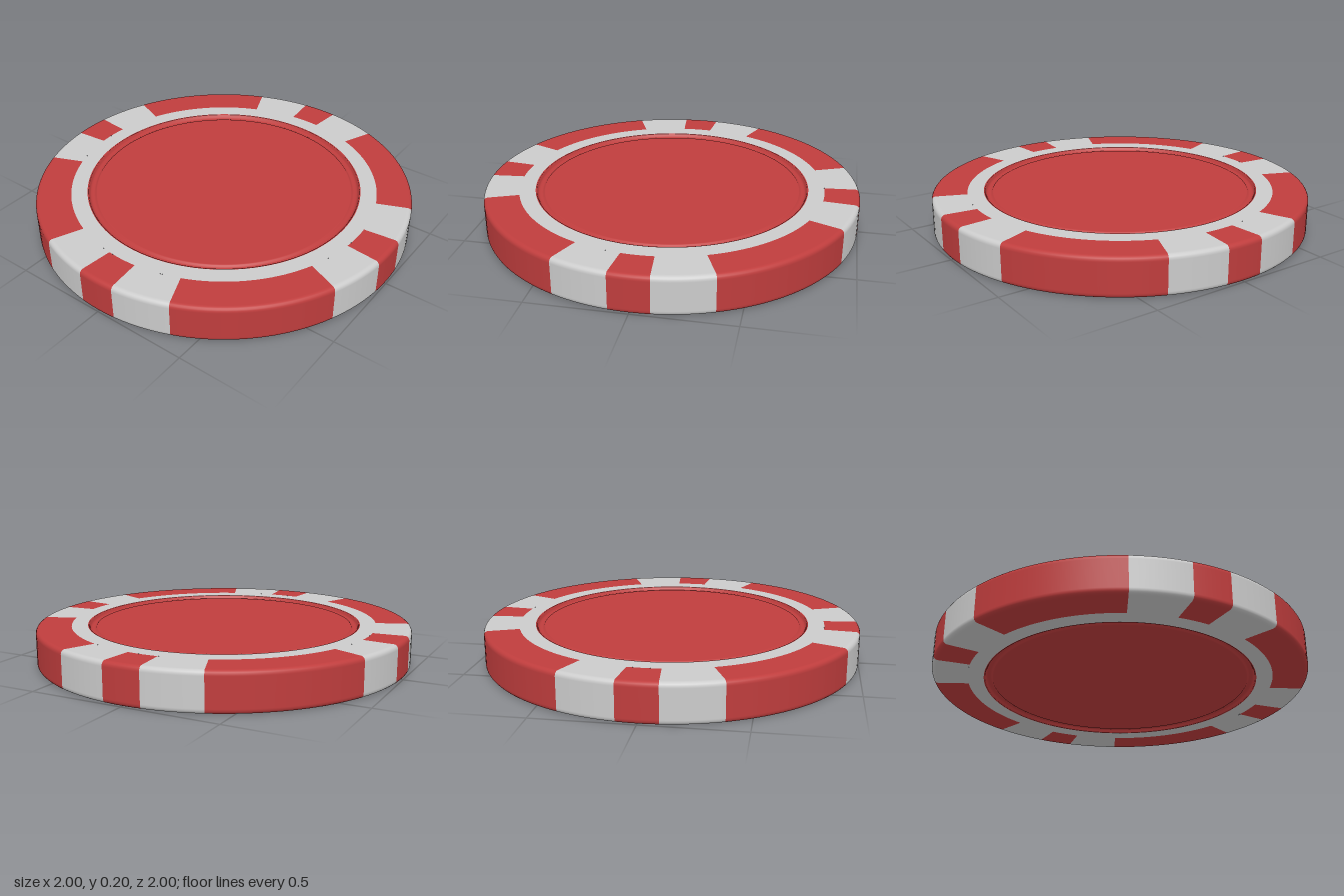
import * as THREE from 'three';

const HEIGHT = 0.2;
const INLAY_R = 0.815; // inner radius of the edge blocks
const FACE_R = 0.73;   // radius of the recessed centre face
const BEVEL = 0.022;
const deg = Math.PI / 180;

const red = new THREE.MeshStandardMaterial({ color: 0xbf3d3d });
const grey = new THREE.MeshStandardMaterial({ color: 0xcccccc });

// Revolve [radius, y] points around y over an arc given in degrees
function revolve(name, points, material, start = 0, sweep = 360) {
  const segments = Math.max(6, Math.round(sweep / 2.5));
  const geometry = new THREE.LatheGeometry(
    points.map(([r, y]) => new THREE.Vector2(r, y)), segments, start * deg, sweep * deg);
  const mesh = new THREE.Mesh(geometry, material);
  mesh.name = name;
  return mesh;
}

// Flip a top profile (running inwards) to the underside (running outwards)
const underside = (points) => points.map(([r, y]) => [r, HEIGHT - y]).reverse();

// Edge profile: top half with a rounded corner, then mirrored below
function edgeProfile() {
  const top = [[1, HEIGHT - BEVEL - 0.004]];
  for (let i = 0; i <= 5; i++) {
    const a = (i / 5) * Math.PI / 2;
    top.push([1 - BEVEL + BEVEL * Math.cos(a), HEIGHT - BEVEL + BEVEL * Math.sin(a)]);
  }
  top.push([1 - BEVEL - 0.004, HEIGHT], [INLAY_R, HEIGHT]);
  return [...underside(top), ...top];
}

export function createModel() {
  const chip = new THREE.Group();
  chip.name = 'pokerChip';

  // Alternating edge blocks wrapping top, side and bottom
  const edge = edgeProfile();
  const small = 5.7;
  for (let q = 0; q < 4; q++) {
    const a = q * 90;
    chip.add(
      revolve('smallEdgeInlay', edge, red, a - small, 2 * small),
      revolve('edgeSpacer', edge, grey, a + small, 22.6 - small),
      revolve('largeEdgeInlay', edge, red, a + 22.6, 44.8),
      revolve('edgeSpacer', edge, grey, a + 67.4, 22.6 - small),
    );
  }

  // Plain ring between the edge blocks and the centre
  const ring = [[INLAY_R, HEIGHT], [FACE_R, HEIGHT]];
  chip.add(revolve('topRing', ring, grey), revolve('bottomRing', underside(ring), grey));

  // Centre face: thin lip, groove, then a slightly sunken disc
  const face = [
    [FACE_R, HEIGHT], [0.726, HEIGHT], [0.723, 0.199], [0.718, 0.187],
    [0.713, 0.182], [0.706, 0.18], [0.696, 0.18], [0.69, 0.182],
    [0.685, 0.188], [0.681, 0.19], [0.677, 0.19], [0, 0.19],
  ];
  chip.add(revolve('topFace', face, red), revolve('bottomFace', underside(face), red));

  return chip;
}
